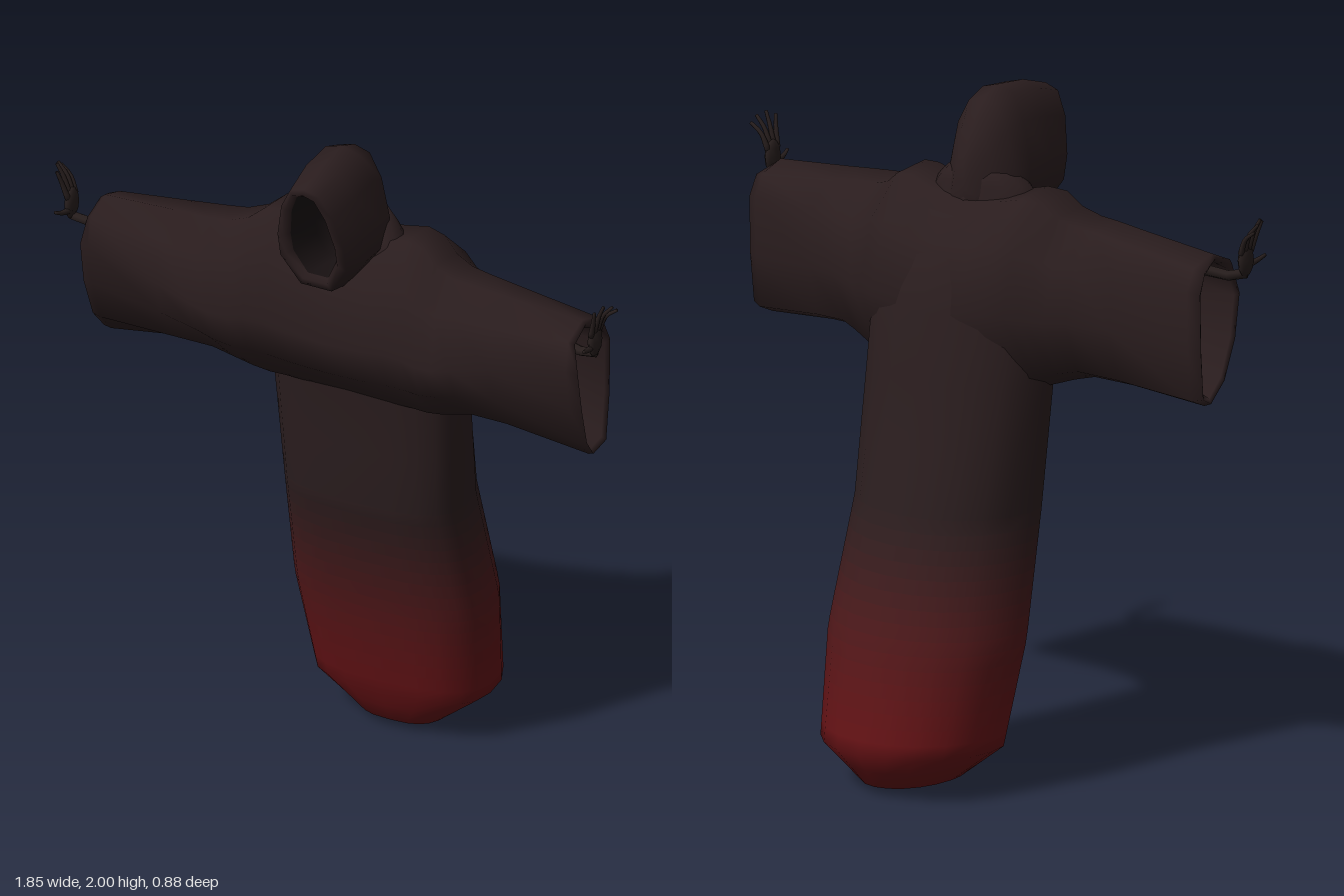
import * as THREE from 'three';

const V = (x, y, z) => new THREE.Vector3(x, y, z);
const { lerp, smoothstep } = THREE.MathUtils;
const cloth = new THREE.Color(0x2a1d1e);
const ember = new THREE.Color(0x641114);
const paint = (color) => new THREE.MeshStandardMaterial({ color });

// Joins closed rings of equal point count into a capped, outward-facing skin
function loft(rings) {
  const n = rings[0].length, pts = rings.flat(), index = [];
  const centre = (ring) => ring.reduce((a, p) => a.add(p), V(0, 0, 0)).divideScalar(n);
  const first = pts.length, last = first + 1;
  pts.push(centre(rings[0]), centre(rings[rings.length - 1]));
  for (let i = 0; i < n; i++) index.push(first, (i + 1) % n, i);
  for (let r = 0; r < rings.length - 1; r++) {
    for (let i = 0; i < n; i++) {
      const a = r * n + i, b = r * n + (i + 1) % n;
      index.push(a, b, b + n, a, b + n, a + n);
    }
  }
  const base = (rings.length - 1) * n;
  for (let i = 0; i < n; i++) index.push(last, base + i, base + (i + 1) % n);
  // Turn the faces outwards if the enclosed volume is negative
  let volume = 0;
  for (let k = 0; k < index.length; k += 3) {
    volume += pts[index[k]].dot(pts[index[k + 1]].clone().cross(pts[index[k + 2]]));
  }
  if (volume < 0) {
    for (let k = 0; k < index.length; k += 3) [index[k], index[k + 1]] = [index[k + 1], index[k]];
  }
  const geo = new THREE.BufferGeometry().setFromPoints(pts);
  geo.setIndex(index);
  geo.computeVertexNormals();
  return geo;
}

// Linear lookup in a table of rows whose first entry is the key
function sample(table, key) {
  let i = 0;
  while (i < table.length - 2 && key > table[i + 1][0]) i++;
  const a = table[i], b = table[i + 1];
  const t = (key - a[0]) / (b[0] - a[0]);
  return a.map((v, k) => lerp(v, b[k], t));
}

// Horizontal oval: height, front z, back z, half width; widest ahead of the middle, squarer in front
function oval([y, front, back, w], sides) {
  const middle = lerp(front, back, 0.36);
  return Array.from({ length: sides }, (_, i) => {
    const a = (i / sides) * Math.PI * 2, s = Math.sin(a), c = Math.cos(a);
    const power = c > 0 ? 0.72 : 0.97;
    const round = (v) => Math.sign(v) * Math.abs(v) ** power;
    return V(w * round(s), y, middle + Math.abs((c > 0 ? front : back) - middle) * round(c));
  });
}

// Trailing robe up to the shoulder blades; colour fades to red at the hem
function makeRobe() {
  const table = [
    [0.005, -0.12, -0.24, 0.05], [0.03, -0.06, -0.36, 0.13], [0.14, -0.01, -0.437, 0.275],
    [0.45, 0.055, -0.367, 0.308], [0.82, 0.145, -0.26, 0.288], [1.2, 0.17, -0.172, 0.303],
    [1.4, 0.2, -0.15, 0.3], [1.55, 0.22, -0.1, 0.25], [1.66, 0.22, -0.02, 0.18],
  ];
  const heights = [0.005, 0.03, 0.085, 0.14];
  for (let k = 1; k <= 16; k++) heights.push(0.14 + k * 0.0425);
  heights.push(1.0, 1.2, 1.4, 1.55, 1.66);
  const sides = 20;
  const geo = loft(heights.map((h) => oval(sample(table, h), sides)));
  const materials = [];
  const addBand = (start, count, y) => {
    geo.addGroup(start, count, materials.length);
    materials.push(paint(ember.clone().lerp(cloth, smoothstep(y, 0.1, 0.86))));
  };
  const cap = sides * 3, band = sides * 6;
  addBand(0, cap, 0);
  for (let r = 0; r < heights.length - 1; r++) {
    addBand(cap + r * band, band, (heights[r] + heights[r + 1]) / 2);
  }
  addBand(cap + (heights.length - 1) * band, cap, 2);
  return new THREE.Mesh(geo, materials);
}

// Shoulders and sleeves: one skin along x that turns inwards at both cuffs
function makeShoulders() {
  // Outline as fractions of depth (back to front) and height
  const chest = [[0.2, 0.05], [0.03, 0.42], [0.15, 0.78], [0.42, 0.98], [0.7, 1], [0.93, 0.82],
    [1, 0.45], [0.93, 0.24], [0.64, 0], [0.4, -0.03]];
  const cuff = [[0.1, 0.06], [0.02, 0.4], [0, 0.8], [0.15, 0.94], [0.55, 1], [0.93, 0.92],
    [1, 0.72], [0.88, 0.42], [0.66, 0.14], [0.38, 0]];
  // x, bottom, top, back z, front z, inset of the lining
  const half = [
    [0, 1.18, 1.7, -0.155, 0.33, 0], [0.12, 1.18, 1.715, -0.15, 0.33, 0],
    [0.2, 1.185, 1.735, -0.14, 0.333, 0], [0.26, 1.19, 1.73, -0.115, 0.337, 0],
    [0.31, 1.203, 1.69, -0.09, 0.342, 0], [0.37, 1.222, 1.67, -0.065, 0.347, 0],
    [0.43, 1.235, 1.665, -0.035, 0.344, 0], [0.55, 1.222, 1.655, 0.02, 0.33, 0],
    [0.79, 1.19, 1.637, 0.085, 0.3, 0], [0.825, 1.19, 1.635, 0.095, 0.295, 0.008],
    [0.815, 1.19, 1.635, 0.095, 0.295, 0.022], [0.5, 1.225, 1.655, 0.02, 0.32, 0.05],
  ];
  const ring = ([x, y0, y1, z0, z1, inset], side) => chest.map(([u, v], i) => {
    const t = smoothstep(x, 0.33, 0.8);
    const fu = lerp(u, cuff[i][0], t), fv = lerp(v, cuff[i][1], t);
    const flare = x > 0.8 ? 0.04 * fu * Math.abs(2 * fv - 1) ** 4 : 0;
    return V(side * (x - flare), lerp(y0 + inset, y1 - inset, fv), lerp(z0 + inset, z1 - inset, fu));
  });
  const left = half.map((row) => ring(row, 1));
  const right = half.slice(1).reverse().map((row) => ring(row, -1));
  return new THREE.Mesh(loft([...right, ...left]), paint(cloth));
}

// Folds of cloth where the hood spreads onto the shoulders
function makeCollar() {
  const rows = [[1.6, 0.27, 0.03, 0.21], [1.7, 0.225, 0.05, 0.178],
    [1.735, 0.21, 0.055, 0.15], [1.775, 0.18, 0.06, 0.1]];
  return new THREE.Mesh(loft(rows.map((row) => oval(row, 14))), paint(cloth));
}

// Pointed hood: hollow dark lining first, then the rim and the outer shell to the nape
function makeHood() {
  const outline = [[0, 1], [0.42, 0.96], [0.75, 0.77], [0.97, 0.46], [0.96, 0.25], [0.45, 0]];
  const closed = [...outline, ...outline.slice(1).reverse().map(([u, v]) => [-u, v])];
  // z at mid height, bottom, top, half width, forward lean of the top
  const rows = [
    [0.23, 1.69, 1.88, 0.04, 0.02], [0.28, 1.67, 1.91, 0.052, 0.04],
    [0.385, 1.645, 1.93, 0.074, 0.07], [0.405, 1.632, 1.943, 0.088, 0.075],
    [0.395, 1.61, 1.955, 0.113, 0.07], [0.3, 1.6, 1.988, 0.132, 0.05],
    [0.2, 1.6, 2.0, 0.132, 0.02], [0.14, 1.6, 1.975, 0.12, 0],
    [0.09, 1.6, 1.9, 0.09, 0], [0.05, 1.62, 1.81, 0.045, 0],
  ];
  const geo = loft(rows.map(([z, y0, y1, w, lean]) =>
    closed.map(([u, v]) => V(u * w, lerp(y0, y1, v), z + lean * (v - 0.5)))));
  const lining = closed.length * (3 + 6 * 2);
  geo.addGroup(0, lining, 0);
  geo.addGroup(lining, geo.index.count - lining, 1);
  return new THREE.Mesh(geo, [paint(0x171011), paint(cloth)]);
}

// Thin tapering limb through a few points
function limb(points, r0, r1) {
  const curve = new THREE.CatmullRomCurve3(points.map((p) => V(...p)));
  const steps = 6, sides = 6;
  const frames = curve.computeFrenetFrames(steps);
  const rings = Array.from({ length: steps + 1 }, (_, s) => {
    const c = curve.getPointAt(s / steps), r = lerp(r0, r1, s / steps);
    return Array.from({ length: sides }, (_, i) => {
      const a = (i / sides) * Math.PI * 2;
      return c.clone().addScaledVector(frames.normals[s], r * Math.cos(a))
        .addScaledVector(frames.binormals[s], r * Math.sin(a));
    });
  });
  return loft(rings);
}

// Bony forearm and raised open hand on the +x side
function makeArm() {
  const arm = new THREE.Group();
  const skin = paint(0x261d1c);
  const add = (geo, name) => {
    const mesh = new THREE.Mesh(geo, skin);
    mesh.name = name;
    arm.add(mesh);
    return mesh;
  };
  add(limb([[0.52, 1.57, 0.2], [0.7, 1.575, 0.23], [0.82, 1.565, 0.252], [0.868, 1.578, 0.262]], 0.022, 0.014), 'forearm');
  const palm = add(new THREE.SphereGeometry(1, 8, 6), 'palm');
  palm.scale.set(0.016, 0.05, 0.033);
  palm.position.set(0.866, 1.618, 0.262);
  // Knuckle z, middle joint, tip
  const fingers = [
    [0.24, [0.886, 1.688, 0.234], [0.921, 1.715, 0.23]],
    [0.255, [0.887, 1.698, 0.252], [0.918, 1.733, 0.252]],
    [0.27, [0.885, 1.701, 0.274], [0.905, 1.742, 0.28]],
    [0.284, [0.88, 1.693, 0.295], [0.89, 1.73, 0.306]],
  ];
  for (const [z, joint, tip] of fingers) add(limb([[0.866, 1.64, z], joint, tip], 0.009, 0.005), 'finger');
  add(limb([[0.864, 1.6, 0.275], [0.868, 1.607, 0.315], [0.875, 1.618, 0.342]], 0.01, 0.005), 'thumb');
  return arm;
}

export function createModel() {
  const model = new THREE.Group();
  model.name = 'hoodedWraith';
  const add = (object, name) => {
    object.name = name;
    model.add(object);
  };
  add(makeRobe(), 'robe');
  add(makeShoulders(), 'shouldersAndSleeves');
  add(makeCollar(), 'collar');
  add(makeHood(), 'hood');
  add(makeArm(), 'leftArm');
  const right = makeArm();
  right.scale.x = -1;
  add(right, 'rightArm');
  return model;
}
